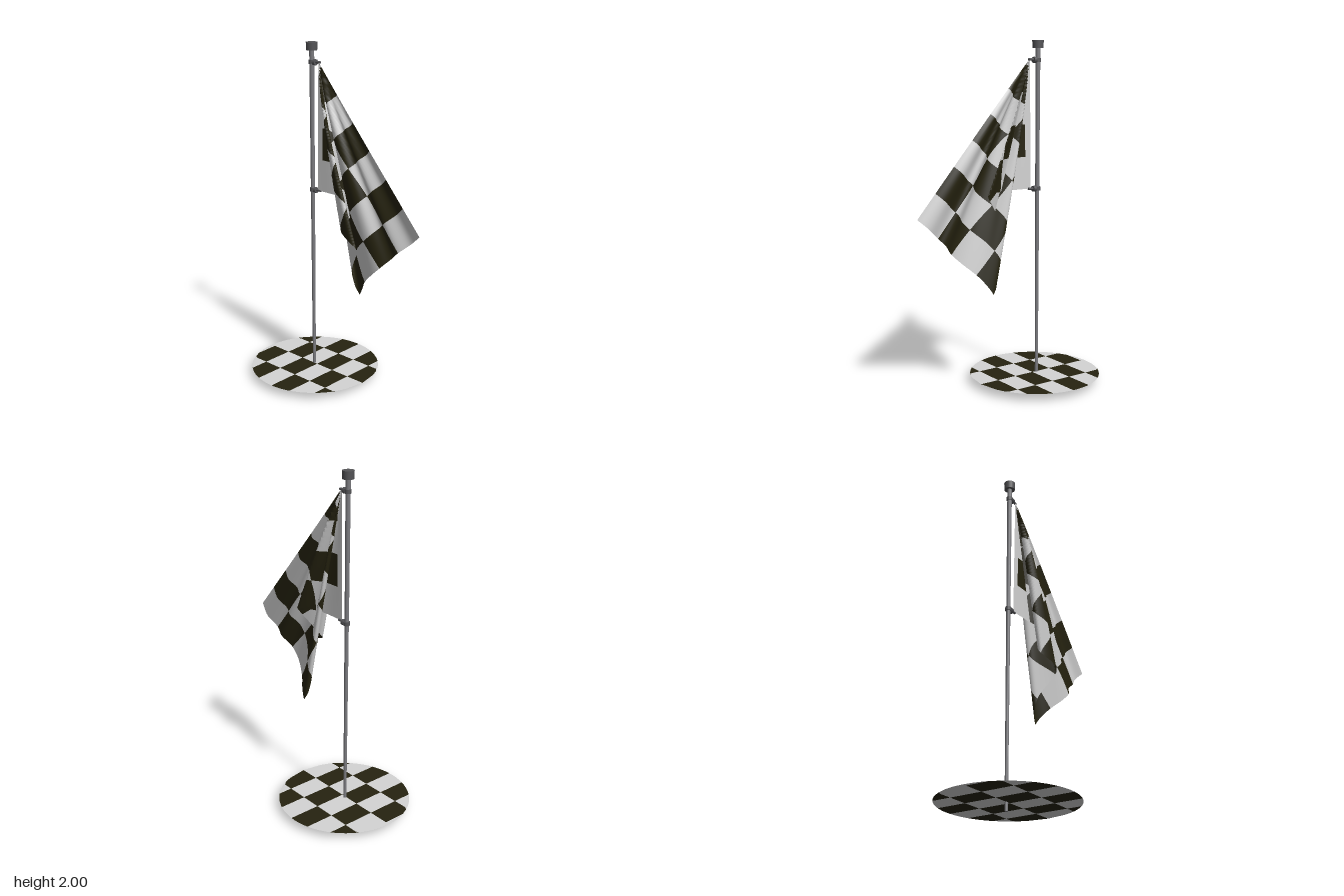
import * as THREE from 'three';

const mat = (name, color, side = THREE.FrontSide) => {
  const m = new THREE.MeshStandardMaterial({ color, side });
  m.name = name;
  return m;
};

// Check pattern limits, as fractions of the cloth or disc
const COLS = [0, 0.032, 0.195, 0.357, 0.52, 0.682, 0.844, 1];
const ROWS = [0, 0.25, 0.5, 0.75, 1];

// Splits every interval of a list into n steps
function subdivide(stops, n) {
  const out = [stops[0]];
  for (let i = 1; i < stops.length; i++) {
    for (let k = 1; k <= n; k++) out.push(stops[i - 1] + (stops[i] - stops[i - 1]) * k / n);
  }
  return out;
}

// Smooth surface point(u, v) with checks as two material groups
function checkedSurface(point, nu, nv) {
  const us = subdivide(COLS, nu), vs = subdivide(ROWS, nv);
  const pos = [], light = [], dark = [];
  for (const v of vs) for (const u of us) pos.push(...point(u, v));
  for (let j = 0; j < vs.length - 1; j++) {
    for (let i = 0; i < us.length - 1; i++) {
      const col = Math.floor(i / nu) - 1, row = Math.floor(j / nv);
      const list = col >= 0 && (col + row) % 2 === 0 ? dark : light;
      const a = j * us.length + i, b = a + us.length;
      list.push(a, b, a + 1, a + 1, b, b + 1);
    }
  }
  const g = new THREE.BufferGeometry();
  g.setAttribute('position', new THREE.Float32BufferAttribute(pos, 3));
  g.setIndex([...light, ...dark]);
  g.addGroup(0, light.length, 0);
  g.addGroup(light.length, dark.length, 1);
  g.computeVertexNormals();
  return g;
}

// Folds around the top corner: [angle in flat cloth, hanging angle, depth]
const FOLDS = [
  [0, 0, 0], [12, 12, 0.002], [18, 17.5, -0.012], [23.5, 23, -0.055], [26, 23.5, -0.05],
  [32, 17.5, -0.01], [36.5, 13.5, 0.025], [39, 13.3, 0.05], [43.5, 18, 0.078], [46, 19, 0.06],
  [51.5, 12.5, 0], [55, 11.3, -0.03], [56.8, 12, -0.04], [60, 14, -0.025], [63.8, 16.7, 0.01],
  [68, 21, 0.045], [72, 25.1, 0.05], [77, 29, 0.015], [80.7, 32, 0.02], [85, 36.5, -0.005],
  [90, 41, 0.01],
];

// Cubic interpolation of the fold table
function foldAt(angle, k) {
  const last = FOLDS.length - 1;
  let i = 0;
  while (i < last - 1 && angle > FOLDS[i + 1][0]) i++;
  const slope = (n) => {
    const a = FOLDS[Math.max(n - 1, 0)], b = FOLDS[Math.min(n + 1, last)];
    return (b[k] - a[k]) / (b[0] - a[0]);
  };
  const p = FOLDS[i], q = FOLDS[i + 1], h = q[0] - p[0];
  const t = (angle - p[0]) / h, t2 = t * t, t3 = t2 * t;
  return (2 * t3 - 3 * t2 + 1) * p[k] + (t3 - 2 * t2 + t) * h * slope(i)
    + (3 * t2 - 2 * t3) * q[k] + (t3 - t2) * h * slope(i + 1);
}

// Cloth hanging in radial folds from its top corner
function clothPoint(u, v) {
  const across = u * 1.13, down = v * 0.74;
  const r = Math.hypot(across, down);
  const flat = r > 0 ? THREE.MathUtils.radToDeg(Math.atan2(across, down)) : 45;
  const a = THREE.MathUtils.degToRad(foldAt(flat, 1));
  const depth = foldAt(flat, 2) * (1 - Math.exp(-r / 0.25));
  return [-0.157 - 0.01 * (1 - u) * v + r * Math.sin(a), 1.897 - r * Math.cos(a), depth];
}

// Round base disc: a square grid squeezed into the circle
function discPoint(u, v) {
  const R = 0.385, x = (2 * u - 1) * R;
  const h = Math.sqrt(Math.max(R * R - x * x, 0));
  return [x - 0.2, 0.048, THREE.MathUtils.clamp((2 * v - 1) * R, -h, h)];
}

export function createModel() {
  const model = new THREE.Group();
  model.name = 'flagOnPole';

  const lightCloth = mat('lightCheck', 0xd4d4d4, THREE.DoubleSide);
  const darkCloth = mat('darkCheck', 0x262310, THREE.DoubleSide);
  const steel = mat('poleGrey', 0x7c7c80);
  const darkSteel = mat('fittingGrey', 0x555558);

  const add = (name, geometry, material, x = 0, y = 0, z = 0, parent = model) => {
    const m = new THREE.Mesh(geometry, material);
    m.name = name;
    m.position.set(x, y, z);
    parent.add(m);
    return m;
  };

  const poleX = -0.211, poleZ = -0.004;

  // Pole and cap
  add('pole', new THREE.CylinderGeometry(0.014, 0.009, 1.97, 16), steel, poleX, 0.985, poleZ);
  add('cap', new THREE.CylinderGeometry(0.033, 0.031, 0.045, 20), darkSteel, poleX, 1.9775, poleZ);

  // Clips holding the cloth
  for (const y of [1.89, 1.155]) {
    const clip = new THREE.Group();
    clip.name = 'clip';
    clip.position.set(poleX, y, poleZ);
    model.add(clip);
    add('clipCollar', new THREE.CylinderGeometry(0.018, 0.018, 0.022, 14), darkSteel, 0, 0, 0, clip);
    const knob = add('clipKnob', new THREE.CylinderGeometry(0.017, 0.017, 0.018, 12), darkSteel, 0.024, 0, 0, clip);
    knob.rotation.z = Math.PI / 2;
    const pin = add('clipPin', new THREE.CylinderGeometry(0.007, 0.007, 0.04, 10), darkSteel, 0.045, 0.002, 0, clip);
    pin.rotation.z = Math.PI / 2;
  }

  // Checked cloth and base
  add('flagCloth', checkedSurface(clothPoint, 14, 16), [lightCloth, darkCloth]);
  add('baseDisc', checkedSurface(discPoint, 6, 4), [lightCloth, darkCloth]);

  return model;
}
